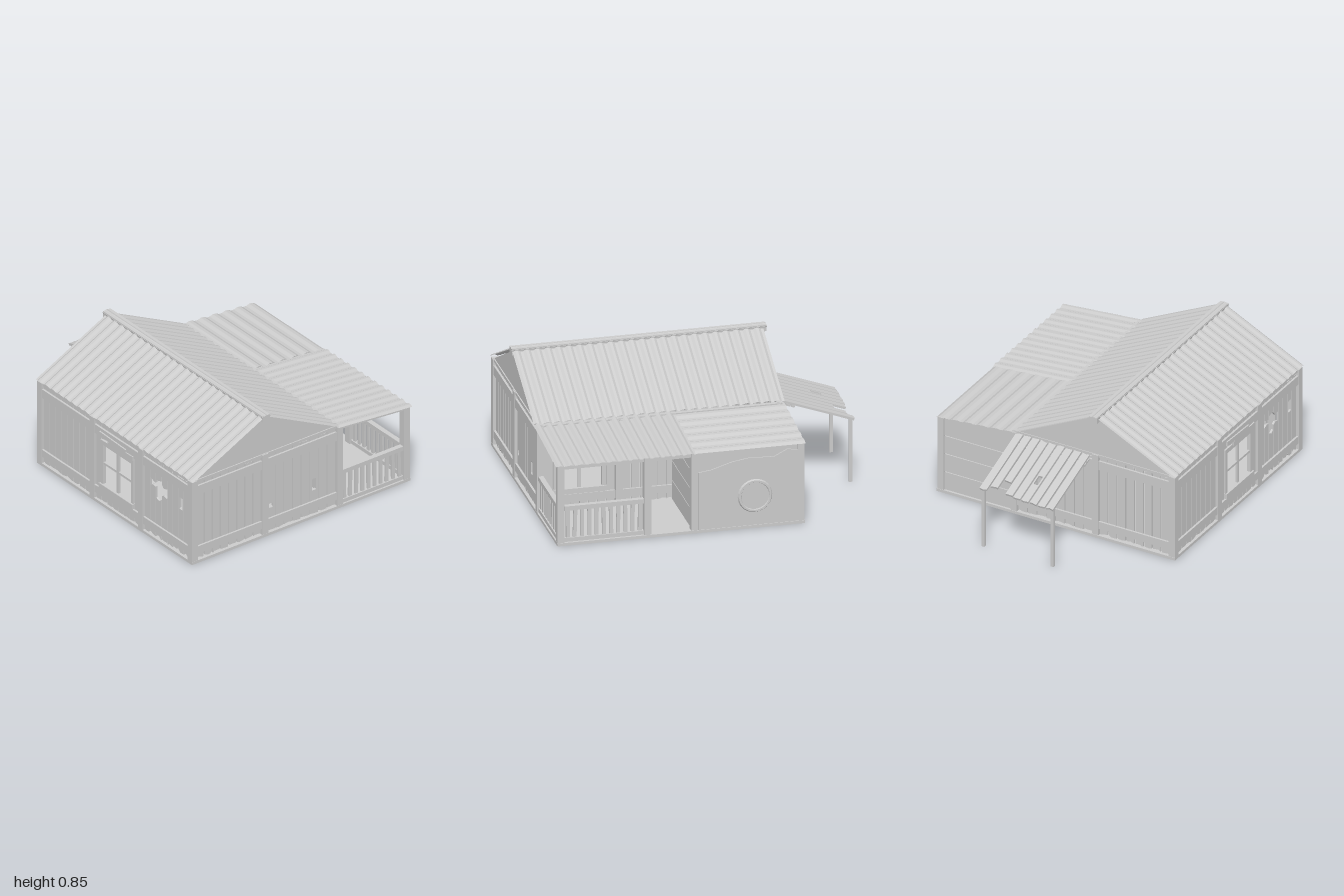
import * as THREE from 'three';

const mat = new THREE.MeshStandardMaterial({ color: 0xcccccc, flatShading: true, side: THREE.DoubleSide });
let seed = 7;
const rnd = () => (seed = (seed * 16807) % 2147483647) / 2147483647 - 0.5;

function add(parent, name, geometry, x = 0, y = 0, z = 0) {
  const m = new THREE.Mesh(geometry, mat);
  m.name = name;
  m.position.set(x, y, z);
  parent.add(m);
  return m;
}
// Box given by its limits on each axis
function box(parent, name, x0, x1, y0, y1, z0, z1) {
  return add(parent, name, new THREE.BoxGeometry(x1 - x0, y1 - y0, z1 - z0),
    (x0 + x1) / 2, (y0 + y1) / 2, (z0 + z1) / 2);
}
function group(parent, name, x = 0, y = 0, z = 0, ry = 0) {
  const g = new THREE.Group();
  g.name = name;
  g.position.set(x, y, z);
  g.rotation.set(0, ry, 0, 'YXZ');
  parent.add(g);
  return g;
}
function slab(points, depth, hole) {
  const s = new THREE.Shape(points.map(p => new THREE.Vector2(...p)));
  if (hole) {
    const [x, y, w, h] = hole, c = w * 0.3;
    s.holes.push(new THREE.Path([[-w, -h + c], [-w, h - c], [-w + c, h], [w - c, h], [w, h - c], [w, -h + c], [w - c, -h], [-w + c, -h]]
      .map(([a, b]) => new THREE.Vector2(x + a / 2, y + b / 2))));
  }
  return new THREE.ExtrudeGeometry(s, { depth, bevelEnabled: false });
}

// Upright planks with ragged ends; cuts = { index: [from, to] }, holes = { index: [y, w, h] }
function planks(g, w, n, y0, y1, { cuts = {}, holes = {}, gap = 0.006, jag = 0.014, ends = {} } = {}) {
  const p = w / n;
  for (let i = 0; i < n; i++) {
    const a = -w / 2 + i * p + gap / 2, b = a + p - gap, m = (a + b) / 2 + rnd() * p * 0.4;
    const top = ends[i] ?? y1;
    const spans = cuts[i] ? [[y0, cuts[i][0]], [cuts[i][1], top]] : [[y0, top]];
    for (const [lo, hi] of spans) {
      const j = () => rnd() * jag;
      const hole = holes[i] && [(a + b) / 2, ...holes[i]];
      add(g, 'plank', slab([[a, lo + j()], [m, lo + j()], [b, lo + j()], [b, hi + j()], [m, hi + j()], [a, hi + j()]], 0.014, hole));
    }
  }
}
// Wall section: planks and two cross battens
function panel(parent, name, x, z, ry, w, opt = {}) {
  const g = group(parent, name, x, 0, z, ry);
  planks(g, w, opt.n ?? 8, 0.022, 0.55, opt);
  box(g, 'lowerBatten', -w / 2, w / 2, 0.06, 0.11, 0.014, 0.027);
  box(g, 'upperBatten', -w / 2, w / 2, 0.47, 0.53, 0.014, 0.027);
  return g;
}
// Four pane window with a sill and crooked boards above
function windowFrame(parent) {
  const g = group(parent, 'window');
  for (const s of [-1, 1]) box(g, 'jamb', s * 0.15 - 0.012, s * 0.15 + 0.012, 0.13, 0.45, 0, 0.024);
  box(g, 'mullion', -0.01, 0.01, 0.14, 0.44, 0.004, 0.018);
  box(g, 'crossbar', -0.15, 0.15, 0.283, 0.298, 0.004, 0.018);
  box(g, 'head', -0.16, 0.16, 0.42, 0.45, 0, 0.024);
  box(g, 'sill', -0.165, 0.165, 0.115, 0.148, 0, 0.034);
  box(g, 'headBoard', -0.16, 0.1, 0.475, 0.505, 0.02, 0.036).rotation.z = -0.04;
  box(g, 'headBoard', -0.08, 0.17, 0.45, 0.478, 0.02, 0.034).rotation.z = 0.04;
}
const middleCut = Object.fromEntries([1, 2, 3, 4, 5, 6].map(i => [i, [0.13, 0.45]]));

// Trapezoid corrugated sheet lying in XZ, ridges running along z
function sheet(parent, name, width, length, waves) {
  const geo = new THREE.PlaneGeometry(width, length, waves * 4, 1).rotateX(-Math.PI / 2);
  const pos = geo.attributes.position;
  for (let i = 0; i < pos.count; i++) pos.setY(i, (i % (waves * 4 + 1)) % 4 < 2 ? 0 : 0.01);
  return add(parent, name, geo);
}
// Railing along local x
function railing(parent, x, z, ry, w, n) {
  const g = group(parent, 'railing', x, 0, z, ry);
  box(g, 'topRail', -w / 2, w / 2, 0.222, 0.25, -0.016, 0.016);
  box(g, 'bottomRail', -w / 2, w / 2, 0.02, 0.045, -0.014, 0.014);
  for (let i = 0; i < n; i++) {
    const c = -w / 2 + (i + 0.5) * w / n;
    box(g, 'baluster', c - 0.011, c + 0.011, 0.04, 0.225, -0.007, 0.007).rotation.z = rnd() * 0.06;
  }
}

export function createModel() {
  seed = 7;
  const root = new THREE.Group();
  root.name = 'shack';
  const Q = Math.PI / 2;

  // Floor, posts and wall plates
  box(root, 'floor', -0.55, 0.98, 0, 0.018, -0.82, 0.83);
  const post = (x, z, h) => box(root, 'post', x - 0.022, x + 0.022, 0.01, h, z - 0.022, z + 0.022);
  for (const x of [-0.525, -0.01, 0.47, 0.957]) {
    post(x, 0.808, 0.57);
    post(x, -0.29, 0.565);
  }
  for (const x of [-0.525, 0.957]) post(x, 0.275, 0.57);
  for (const x of [-0.525, 0.13, 0.42, 0.957]) post(x, -0.795, 0.515);
  for (const z of [0.805, -0.285]) box(root, 'wallPlate', -0.54, 0.97, 0.55, 0.57, z - 0.015, z + 0.015);
  for (const x of [-0.525, 0.957]) box(root, 'wallPlate', x - 0.015, x + 0.015, 0.555, 0.572, -0.29, 0.81);
  box(root, 'porchBeam', -0.54, 0.97, 0.49, 0.512, -0.81, -0.78);

  // Front wall
  panel(root, 'frontWallPlain', -0.268, 0.8, 0, 0.47);
  windowFrame(panel(root, 'frontWallWindow', 0.23, 0.8, 0, 0.435, { cuts: middleCut }));
  panel(root, 'frontWallBroken', 0.713, 0.8, 0, 0.44,
    { cuts: { 1: [0.36, 0.4], 2: [0.29, 0.41], 3: [0.33, 0.4] }, holes: { 6: [0.36, 0.032, 0.08] }, jag: 0.03 });

  // Back wall behind the porch and the store room
  panel(root, 'backWallPlain', -0.268, -0.275, 2 * Q, 0.47);
  panel(root, 'backWallDoor', 0.23, -0.275, 2 * Q, 0.435);
  windowFrame(panel(root, 'backWallWindow', 0.713, -0.275, 2 * Q, 0.44, { cuts: middleCut }));

  // Side walls
  for (const [x, ry, s] of [[0.947, Q, 'right'], [-0.515, -Q, 'left']]) {
    panel(root, s + 'WallFront', x, 0.54, ry, 0.49, { gap: 0.01 });
    panel(root, s + 'WallDoor', x, -0.008, ry, 0.52,
      s === 'right' ? { holes: { 5: [0.22, 0.03, 0.08], 0: [0.19, 0.03, 0.03] } } : {});
  }

  // Gables
  for (const x of [0.945, -0.535])
    add(root, 'gable', slab([[-0.81, 0.567], [0.27, 0.567], [-0.28, 0.835]], 0.02), x, 0, 0).rotation.y = Q;

  // Main roof
  const slope = (name, z0, y0, z1, y1, x0, x1, waves) => {
    const g = group(root, name, (x0 + x1) / 2, (y0 + y1) / 2, (z0 + z1) / 2);
    g.rotation.x = -Math.atan2(y1 - y0, z1 - z0);
    return sheet(g, name + 'Sheet', x1 - x0, Math.hypot(y1 - y0, z1 - z0), waves);
  };
  slope('frontRoof', 0.28, 0.845, 0.83, 0.575, -0.56, 0.99, 24);
  slope('backRoof', -0.272, 0.572, 0.28, 0.845, -0.56, 0.99, 24);
  box(root, 'ridgeBeam', -0.58, 0.995, 0.812, 0.852, 0.252, 0.308);
  for (const s of [-1, 1]) box(root, 'ridgeCap', -0.582, 0.996, 0.842, 0.85, 0.265 + s * 0.015 + 0.0, 0.295 + s * 0.015).rotation.x = s * 0.3;

  // Porch roof, and the store room roof with ridges running sideways
  slope('porchRoof', -0.825, 0.515, -0.27, 0.565, 0.12, 0.99, 13);
  const store = group(root, 'storeRoof', -0.213, 0.54, -0.546);
  store.rotation.x = -0.09;
  sheet(store, 'storeRoofSheet', 0.55, 0.68, 6).rotation.y = Q;
  for (const x of [-0.525, 0.13, 0.957])
    add(root, 'rafter', slab([[0.29, 0.54], [0.81, 0.495], [0.81, 0.512], [0.29, 0.559]], 0.03), x - 0.015).rotation.y = Q;

  // Store room side walls of wide level boards
  for (const x of [0.125, -0.535])
    for (let i = 0; i < 4; i++) {
      const y = 0.018 + i * 0.125, t = i === 3 ? [0.513, 0.552] : [y + 0.12, y + 0.12];
      add(root, 'storeBoard', slab([[0.305, y], [0.78, y], [0.78, t[0]], [0.305, t[1]]], 0.018), x).rotation.y = Q;
    }
  // Store room back: boards covered by a torn metal sheet with a round port
  for (let i = 0; i < 4; i++) box(root, 'storeBackBoard', -0.51, 0.115, 0.018 + i * 0.122, 0.135 + i * 0.122, -0.802, -0.79);
  add(root, 'metalSheet', slab([[-0.51, 0.02], [0.11, 0.02], [0.11, 0.39], [0.03, 0.4], [-0.1, 0.44], [-0.2, 0.455],
    [-0.36, 0.45], [-0.44, 0.49], [-0.51, 0.48]], 0.008), 0, 0, -0.82);
  add(root, 'portRing', new THREE.TorusGeometry(0.095, 0.012, 6, 28), -0.24, 0.21, -0.821);
  add(root, 'portPlate', new THREE.CylinderGeometry(0.09, 0.09, 0.008, 28).rotateX(Q), -0.24, 0.21, -0.822);

  // Porch railings
  railing(root, 0.957, -0.542, Q, 0.46, 10);
  railing(root, 0.688, -0.795, 0, 0.49, 11);

  // Plank awning on two thin poles
  const awning = group(root, 'awning', -0.56, 0.57, -0.01, -Q);
  awning.rotation.x = Q + 0.349;
  planks(awning, 0.52, 9, 0, 0.465, { gap: 0.01, jag: 0.01, holes: { 5: [0.29, 0.03, 0.07] }, ends: { 1: 0.43, 2: 0.36, 3: 0.45 } });
  box(awning, 'awningBatten', -0.26, 0.26, 0.02, 0.045, 0.014, 0.026);
  box(awning, 'awningBatten', -0.26, 0.26, 0.052, 0.075, 0.014, 0.026);
  for (const z of [-0.25, 0.23]) box(root, 'awningPole', -0.982, -0.962, 0, 0.41, z - 0.01, z + 0.01);
  return root;
}
